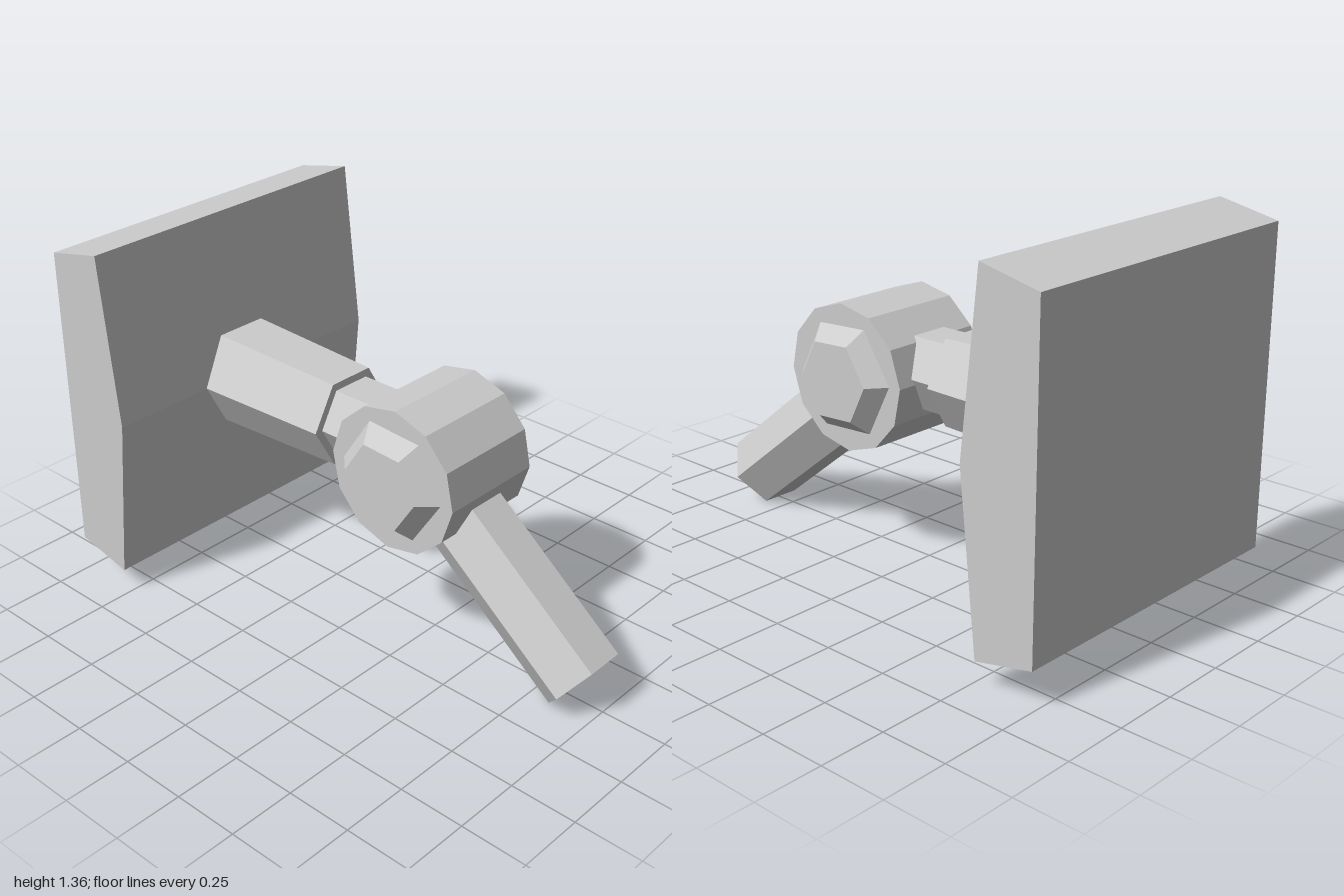
import * as THREE from 'three';

const TILT = 0.06;           // small roll of the joint about its pin
const HUB = [0.217, 0.698];  // joint centre (z, y)
const AXIS_X = -0.008;       // arm and neck sit a hair off centre

// Split shared corners so every facet gets its own normal
function faceted(geometry) {
  const g = geometry.index ? geometry.toNonIndexed() : geometry;
  g.computeVertexNormals();
  return g;
}

// Hexagonal bar along z, flat on top, corners at the sides
function hexBar(rFront, rBack, length) {
  return new THREE.CylinderGeometry(rFront, rBack, length, 6)
    .rotateY(Math.PI / 6).rotateX(Math.PI / 2);
}

export function createModel() {
  const group = new THREE.Group();
  const grey = new THREE.MeshStandardMaterial({ color: 0xcccccc });
  grey.name = 'lightGrey';

  const add = (name, geometry) => {
    const mesh = new THREE.Mesh(faceted(geometry), grey);
    mesh.name = name;
    group.add(mesh);
  };

  // Square plate with a ridged front, extruded across x
  const profile = new THREE.Shape([
    [-1, 0.145], [-0.77, 0.095], [-0.703, 0.733], [-0.77, 1.37], [-1, 1.32],
  ].map(([z, y]) => new THREE.Vector2(z, y)));
  add('plate', new THREE.ExtrudeGeometry(profile, { depth: 1.234, bevelEnabled: false })
    .translate(0, 0, -0.617).rotateY(-Math.PI / 2));

  // Socket flaring towards the plate, and the thinner neck into the joint
  add('socket', hexBar(0.185, 0.206, 0.6).translate(AXIS_X, 0.735, -0.455));
  add('neck', hexBar(0.152, 0.152, 0.4).translate(AXIS_X, 0.735, 0.02));

  // Twelve-sided joint drum across x
  add('jointDrum', new THREE.CylinderGeometry(0.273, 0.273, 0.416, 12)
    .rotateZ(-Math.PI / 2).rotateX(TILT).translate(0, HUB[1], HUB[0]));

  // Tapered hexagonal pin caps on both ends of the drum
  for (const side of [1, -1]) {
    add(side > 0 ? 'leftPinCap' : 'rightPinCap',
      new THREE.CylinderGeometry(0.158, 0.22, 0.062, 6)
        .rotateZ(-side * Math.PI / 2).rotateX(TILT)
        .translate(side * 0.239, HUB[1], HUB[0]));
  }

  // Hexagonal arm sloping forward and down from the joint
  const armLength = 0.897;
  add('arm', hexBar(0.152, 0.152, armLength)
    .translate(0, 0, armLength / 2).rotateX(0.676)
    .translate(AXIS_X, 0.669, HUB[0]));

  return group;
}
